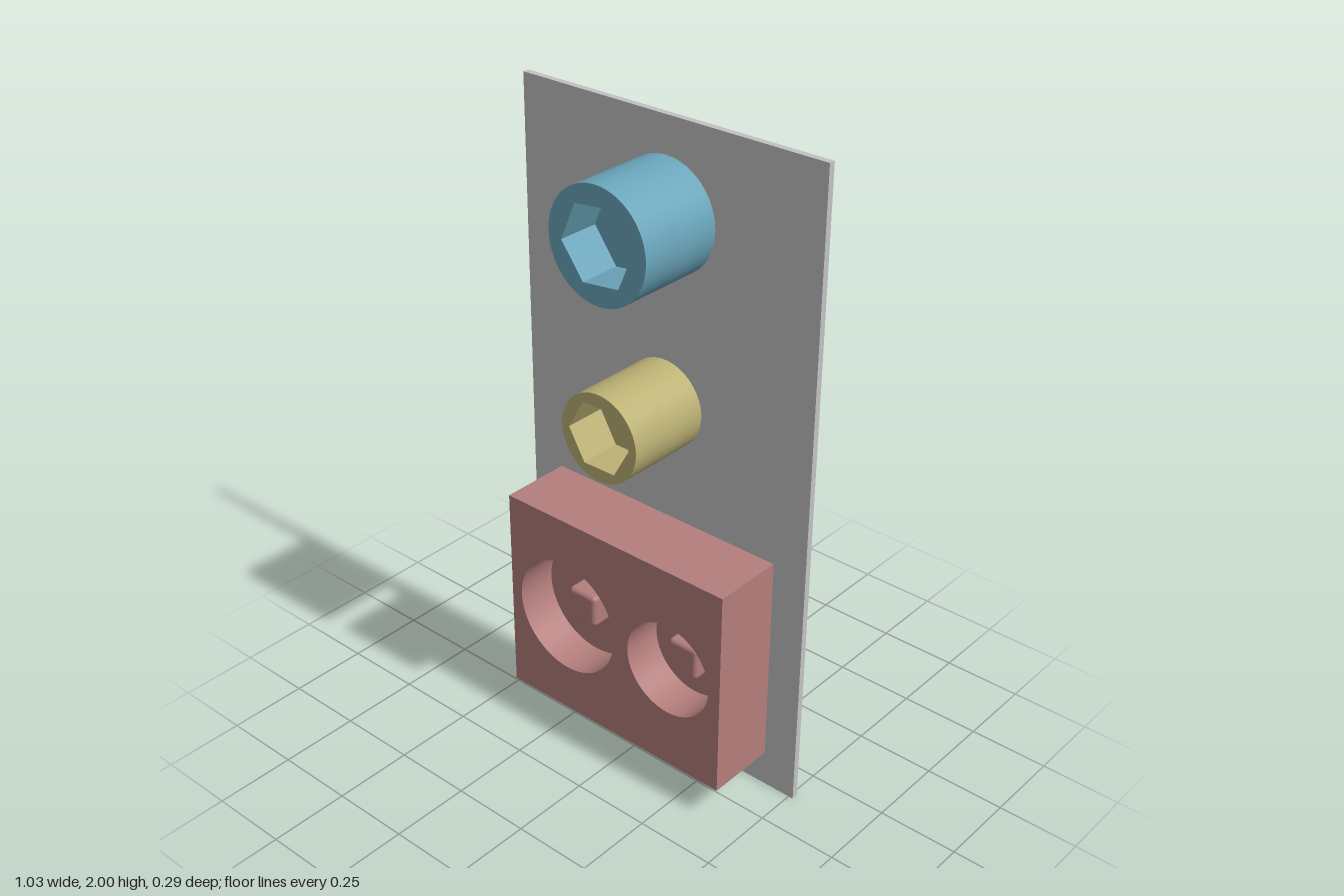
import * as THREE from 'three';
import { toCreasedNormals } from 'three/addons/utils/BufferGeometryUtils.js';
import { RoundedBoxGeometry } from 'three/addons/geometries/RoundedBoxGeometry.js';

const PLATE_FRONT = -0.127;

function material(name, color) {
  const m = new THREE.MeshStandardMaterial({ color });
  m.name = name;
  return m;
}

function add(parent, name, geometry, mat, x = 0, y = 0, z = 0) {
  const mesh = new THREE.Mesh(geometry, mat);
  mesh.name = name;
  mesh.position.set(x, y, z);
  parent.add(mesh);
  return mesh;
}

function circle(x, y, r) {
  return new THREE.Path().absarc(x, y, r, 0, Math.PI * 2, false);
}

function hexagon(r, turn) {
  const pts = [];
  for (let i = 0; i < 6; i++) {
    const a = turn + (i * Math.PI) / 3;
    pts.push(new THREE.Vector2(r * Math.cos(a), r * Math.sin(a)));
  }
  return new THREE.Path(pts);
}

// Solid with blind holes: a pierced front layer on a solid back layer
function addPocketed(parent, name, outline, holes, mat, length, depth, y = 0) {
  const layer = (holeList, thickness) => {
    const shape = new THREE.Shape(outline.getPoints(32));
    shape.holes = holeList;
    const g = new THREE.ExtrudeGeometry(shape, { depth: thickness, bevelEnabled: false, curveSegments: 32 });
    return toCreasedNormals(g, 0.5);
  };
  add(parent, name + 'Base', layer([], length - depth), mat, 0, y, PLATE_FRONT);
  add(parent, name + 'Rim', layer(holes, depth), mat, 0, y, PLATE_FRONT + length - depth);
}

export function createModel() {
  const model = new THREE.Group();
  model.name = 'socketPanel';
  const grey = material('plate grey', 0xc2c2c2);
  const blue = material('muted blue', 0x6aa5bb);
  const yellow = material('muted yellow', 0xbbb174);
  const red = material('dusty red', 0xb37e7c);

  // Backing plate
  add(model, 'backPlate', new THREE.BoxGeometry(1.03, 2, 0.02), grey, 0, 1, -0.137);

  // Round posts with hexagonal sockets
  addPocketed(model, 'largePost', circle(0, 0, 0.168), [hexagon(0.124, 0.12)], blue, 0.274, 0.13, 1.722);
  addPocketed(model, 'smallPost', circle(0, 0, 0.135), [hexagon(0.109, 0.01)], yellow, 0.274, 0.13, 1.157);

  // Block with two round wells
  const wells = [[-0.18, 0.187], [0.213, 0.152]];
  const wellY = 0.455;
  const blockOutline = new THREE.Path([
    new THREE.Vector2(-0.405, 0.115), new THREE.Vector2(0.405, 0.115),
    new THREE.Vector2(0.405, 0.79), new THREE.Vector2(-0.405, 0.79),
  ]);
  addPocketed(model, 'block', blockOutline, wells.map(([x, r]) => circle(x, wellY, r)), red, 0.227, 0.13);

  // Square peg in each well, its back end sunk into the floor
  for (const [x] of wells) {
    add(model, 'squarePeg', new RoundedBoxGeometry(0.106, 0.106, 0.1, 3, 0.014), red, x, wellY, -0.015);
  }
  return model;
}
